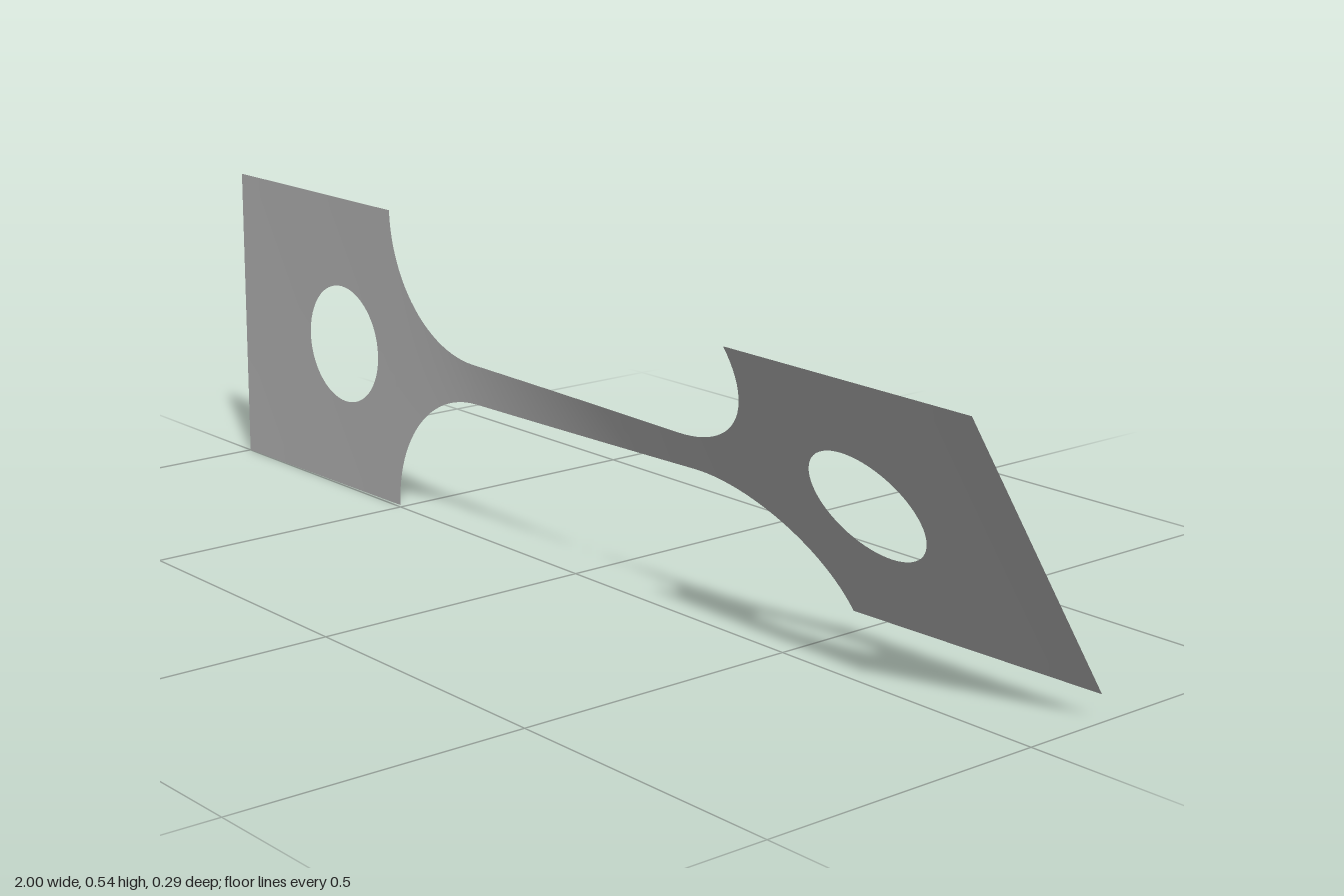
import * as THREE from 'three';
import { mergeVertices } from 'three/addons/utils/BufferGeometryUtils.js';

const END = 1, SHOULDER = 0.51, FILLET = 0.235;
const HALF_WIDTH = 0.271, HALF_NECK = HALF_WIDTH - FILLET;
const HOLE_X = 0.67, HOLE_R = 0.108, CENTRE_Y = 0.271;
const TOTAL_TWIST = THREE.MathUtils.degToRad(32.8);

// Half width of the strip at x: wide tab, round fillet, narrow neck
function halfWidth(x) {
  const a = Math.abs(x);
  if (a >= SHOULDER) return HALF_WIDTH;
  const d = Math.max(0, a - (SHOULDER - FILLET));
  return HALF_WIDTH - Math.sqrt(Math.max(0, FILLET * FILLET - d * d));
}

// Half height of the round hole at x
function halfHole(x) {
  const d = Math.abs(x) - HOLE_X;
  return Math.sqrt(Math.max(0, HOLE_R * HOLE_R - d * d));
}

// Column positions, denser where the outline turns steep
function columns() {
  const right = [];
  const span = (from, to, n, ease) => {
    for (let i = 0; i < n; i++) right.push(from + (to - from) * ease(i / n));
  };
  const linear = t => t;
  span(0, SHOULDER - FILLET, 10, linear);
  span(SHOULDER - FILLET, SHOULDER, 24, t => Math.sin(t * Math.PI / 2));
  span(SHOULDER, HOLE_X - HOLE_R, 3, linear);
  span(HOLE_X - HOLE_R, HOLE_X + HOLE_R, 32, t => (1 - Math.cos(t * Math.PI)) / 2);
  span(HOLE_X + HOLE_R, END, 6, linear);
  right.push(END);
  return [...right.slice(1).reverse().map(x => -x), ...right];
}

// Twist angle at each column: narrow sections turn more than wide ones
function twistAngles(xs) {
  const angles = [0];
  for (let i = 1; i < xs.length; i++) {
    const rate = halfWidth((xs[i] + xs[i - 1]) / 2) ** -1.25;
    angles.push(angles[i - 1] + rate * (xs[i] - xs[i - 1]));
  }
  const total = angles[angles.length - 1];
  return angles.map(a => a / total * TOTAL_TWIST);
}

function twistedStrip() {
  const xs = columns(), angles = twistAngles(xs), rows = 8;
  const positions = [], indices = [];
  // Lower half, then upper half, each running between the hole and the rim
  for (const side of [-1, 1]) {
    const base = positions.length / 3;
    xs.forEach((x, i) => {
      const inner = halfHole(x), outer = halfWidth(x);
      for (let j = 0; j <= rows; j++) {
        const t = side > 0 ? j / rows : 1 - j / rows;
        const v = side * (inner + (outer - inner) * t);
        positions.push(x, CENTRE_Y + v * Math.cos(angles[i]), v * Math.sin(angles[i]));
        if (i < xs.length - 1 && j < rows) {
          const a = base + i * (rows + 1) + j, b = a + rows + 1;
          indices.push(a, b, b + 1, a, b + 1, a + 1);
        }
      }
    });
  }
  const geometry = new THREE.BufferGeometry();
  geometry.setAttribute('position', new THREE.Float32BufferAttribute(positions, 3));
  geometry.setIndex(indices);
  const merged = mergeVertices(geometry, 1e-5);
  merged.computeVertexNormals();
  return merged;
}

export function createModel() {
  const metal = new THREE.MeshStandardMaterial({ color: 0xb4b4b4, side: THREE.DoubleSide });
  metal.name = 'grey metal';
  const strip = new THREE.Mesh(twistedStrip(), metal);
  strip.name = 'twistedTestStrip';
  const model = new THREE.Group();
  model.name = 'twistedSpecimen';
  model.add(strip);
  return model;
}
